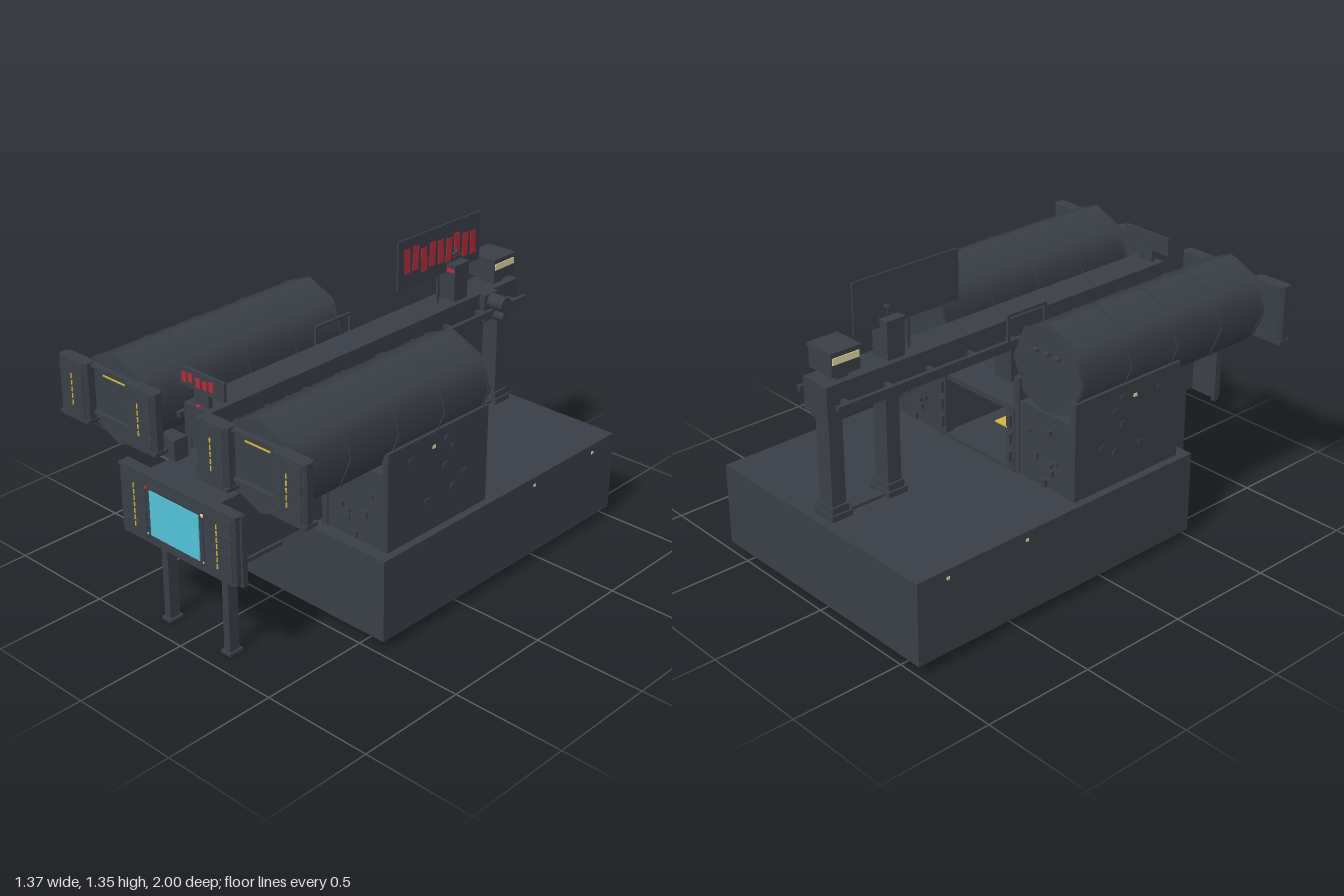
import * as THREE from 'three';

const mat = (name, color) => Object.assign(new THREE.MeshStandardMaterial({ color }), { name });

export function createModel() {
  const steel = mat('dark steel', 0x3a3f47);
  const cyan = mat('screen cyan', 0x52c4d8);
  const yellow = mat('marker yellow', 0xd0b63a);
  const red = mat('sign red', 0xb52c38);
  const cream = mat('lamp cream', 0xe4d6a4);

  const root = new THREE.Group();
  root.name = 'machine';
  const add = (parent, name, geometry, material = steel) => {
    const m = new THREE.Mesh(geometry, material);
    m.name = name;
    parent.add(m);
    return m;
  };
  // Box given by its lower and upper limits on each axis
  const box = (parent, name, x0, x1, y0, y1, z0, z1, material) => {
    const m = add(parent, name, new THREE.BoxGeometry(x1 - x0, y1 - y0, z1 - z0), material);
    m.position.set((x0 + x1) / 2, (y0 + y1) / 2, (z0 + z1) / 2);
    return m;
  };
  // Upright cabinet with chamfered vertical corners
  const cabinet = (parent, name, x0, x1, y0, y1, z0, z1, c = 0.015) => {
    const s = new THREE.Shape([
      [x0 + c, -z1], [x1 - c, -z1], [x1, -z1 + c], [x1, -z0 - c],
      [x1 - c, -z0], [x0 + c, -z0], [x0, -z0 - c], [x0, -z1 + c],
    ].map(p => new THREE.Vector2(...p)));
    const g = new THREE.ExtrudeGeometry(s, { depth: y1 - y0, bevelEnabled: false });
    const m = add(parent, name, g.rotateX(-Math.PI / 2));
    m.position.y = y0;
    return m;
  };
  // Column of small marker dashes
  const dashes = (parent, x, y0, y1, z, n) => {
    for (let i = 0; i < n; i++) {
      const y = y0 + (y1 - y0) * (i + 0.5) / n;
      box(parent, 'markerDash', x - 0.003, x + 0.003, y - 0.01, y + 0.01, z, z + 0.003, yellow);
    }
  };

  // Base and the pads beneath it
  box(root, 'base', -0.61, 0.61, 0.045, 0.41, -1, 0.48);
  for (const s of [-1, 1]) {
    box(root, 'longPad', s * 0.38 - 0.18, s * 0.38 + 0.18, 0.025, 0.045, -0.17, 0.44);
    for (const [z, w] of [[0.215, 0.15], [-0.255, 0.1], [-0.735, 0.1]])
      box(root, 'basePad', s * 0.38 - w, s * 0.38 + w, 0.008, 0.045, z - 0.06, z + 0.06);
    for (const z of [-0.45, -0.85])
      box(root, 'baseLamp', s * 0.611 - 0.002, s * 0.611 + 0.002, 0.367, 0.379, z - 0.007, z + 0.007, cream);
  }
  box(root, 'centerPad', -0.16, 0.16, 0.025, 0.045, -0.17, 0.44);

  // One tank with its pedestal, built about x = 0
  for (const s of [-1, 1]) {
    const t = new THREE.Group();
    t.name = s > 0 ? 'leftTank' : 'rightTank';
    t.position.x = s * 0.4;
    root.add(t);
    const drum = (name, r, z0, z1) => {
      const g = new THREE.CylinderGeometry(r, r, z1 - z0, 8).rotateX(Math.PI / 2);
      add(t, name, g).position.set(0, 0.92, (z0 + z1) / 2);
    };
    drum('tankShell', 0.194, -0.15, 0.92);
    for (const z of [-0.14, 0.122, 0.384, 0.646, 0.908]) drum('tankRib', 0.199, z - 0.005, z + 0.005);
    for (const x of [-0.06, 0, 0.06]) box(t, 'rearHandle', x - 0.015, x + 0.015, 0.99, 1.0, -0.17, -0.15);

    // Front hatch and its frame
    box(t, 'hatch', -0.115, 0.115, 0.84, 1.03, 0.92, 0.926);
    box(t, 'hatchTopRail', -0.13, 0.13, 1.03, 1.042, 0.92, 0.945);
    box(t, 'hatchBottomRail', -0.13, 0.13, 0.828, 0.84, 0.92, 0.945);
    box(t, 'hatchLine', -0.065, 0.065, 1.002, 1.008, 0.926, 0.93, yellow);

    // Drawer cabinets on either side of the hatch
    for (const d of [-1, 1]) {
      const c = d * 0.2;
      cabinet(t, 'drawerCabinet', c - 0.083, c + 0.083, 0.805, 1.048, 0.918, 0.977);
      box(t, 'cabinetSill', c - 0.087, c + 0.087, 0.79, 0.806, 0.916, 0.979);
      for (let i = 0; i < 4; i++)
        box(t, 'drawerFront', c - 0.068, c + 0.068, 0.815 + i * 0.057, 0.866 + i * 0.057, 0.976, 0.98);
      dashes(t, c - d * 0.003, 0.85, 0.995, 0.98, 5);
    }

    // Pedestal with cradle walls
    box(t, 'pedestal', -0.17, 0.175, 0.41, 0.74, -0.16, 0.42);
    for (const d of [-1, 1]) {
      box(t, 'cradleWall', d * 0.16 - 0.016, d * 0.16 + 0.016, 0.41, 0.84, -0.165, 0.425);
      for (const [z, y, w] of [[0.3, 0.765, 0.01], [0.09, 0.79, 0.01], [0.05, 0.74, 0.01],
        [0.095, 0.67, 0.012], [0.05, 0.56, 0.01], [-0.02, 0.6, 0.012], [0.2, 0.55, 0.012]])
        box(t, 'sideFitting', d * 0.178 - 0.004, d * 0.178 + 0.004, y - w, y + w, z - w, z + w);
      box(t, 'sideLamp', d * 0.178 - 0.002, d * 0.178 + 0.002, 0.77, 0.783, 0.155, 0.172, cream);
    }
    for (const [x, y, w] of [[-0.03, 0.665, 0.011], [-0.07, 0.54, 0.01], [-0.035, 0.52, 0.01],
      [0.05, 0.535, 0.015], [0.0, 0.43, 0.014], [-0.04, 0.49, 0.014], [0.09, 0.63, 0.007]])
      for (const z of [0.42, -0.16])
        box(t, 'endFitting', x - w, x + w, y - w, y + w, z - 0.012, z + 0.008);

    // Blocks carrying the tank on the console
    for (const z of [0.805, 0.44])
      box(t, 'tankBlock', -s * 0.15 - 0.085, -s * 0.15 + 0.085, 0.7, 0.79, z - 0.035, z + 0.035);
  }

  // Console body in front, open tunnel behind
  box(root, 'consoleBody', -0.2, 0.2, 0.41, 0.7, 0.4, 0.945);
  box(root, 'tunnelRoof', -0.235, 0.235, 0.675, 0.7, -0.16, 0.41);
  box(root, 'tunnelSill', -0.235, 0.235, 0.41, 0.425, -0.17, -0.13);
  box(root, 'tunnelFloor', -0.15, 0.15, 0.41, 0.416, 0.07, 0.4, yellow);
  for (const s of [-1, 1]) {
    box(root, 'tunnelPost', s * 0.21 - 0.02, s * 0.21 + 0.02, 0.41, 0.7, -0.17, -0.13);
    for (const y of [0.48, 0.56, 0.64]) box(root, 'tunnelHandle', s * 0.21 - 0.01, s * 0.21 + 0.01, y - 0.025, y + 0.025, -0.185, -0.165);
    for (const z of [0.46, 0.57, 0.72]) box(root, 'consoleFitting', s * 0.2 - 0.012, s * 0.2 + 0.012, 0.65, 0.69, z - 0.012, z + 0.012);
  }

  // Control panel with the screen
  cabinet(root, 'controlPanel', -0.325, 0.325, 0.405, 0.69, 0.94, 0.992, 0.012);
  box(root, 'panelTop', -0.33, 0.33, 0.69, 0.703, 0.938, 0.99);
  box(root, 'screenFrame', -0.16, 0.16, 0.43, 0.67, 0.99, 0.996);
  box(root, 'screen', -0.14, 0.14, 0.45, 0.648, 0.994, 1.0, cyan);
  for (const s of [-1, 1]) {
    for (let i = 0; i < 4; i++)
      box(root, 'panelDrawer', s * 0.24 - 0.072, s * 0.24 + 0.072, 0.42 + i * 0.066, 0.48 + i * 0.066, 0.991, 0.995);
    dashes(root, s * 0.235, 0.45, 0.65, 0.995, 7);
    box(root, 'panelBracket', s * 0.325 - 0.01, s * 0.325 + 0.01, 0.395, 0.7, 0.935, 0.96);
    box(root, 'panelLamp', s * 0.16 - 0.006, s * 0.16 + 0.006, 0.648, 0.66, 0.996, 1.0, s > 0 ? cream : red);
    box(root, 'panelDot', s * 0.16 - 0.003, s * 0.16 + 0.003, 0.447, 0.453, 0.996, 1.0, cream);
    // Front legs and under-console bars
    box(root, 'frontLeg', s * 0.175 - 0.017, s * 0.175 + 0.017, 0.01, 0.41, 0.86, 0.91);
    box(root, 'legFoot', s * 0.175 - 0.027, s * 0.175 + 0.027, 0, 0.013, 0.85, 0.92);
    box(root, 'underBar', s * 0.175 - 0.012, s * 0.175 + 0.012, 0.372, 0.388, 0.61, 0.87);
  }

  // Overhead beam, side rails and cross ties
  box(root, 'beam', -0.072, 0.072, 0.86, 1.0, -0.97, 0.86);
  for (const s of [-1, 1]) box(root, 'sideRail', s * 0.12 - 0.01, s * 0.12 + 0.01, 0.915, 0.937, -0.96, 0.85);
  for (let i = 0; i < 9; i++) {
    const z = -0.9 + i * 0.21;
    box(root, 'railTie', -0.12, 0.12, 0.918, 0.932, z - 0.01, z + 0.01);
  }
  for (const z of [0.1, -0.1]) box(root, 'handlePost', -0.126, -0.114, 0.93, 1.05, z - 0.006, z + 0.006);
  box(root, 'handleBar', -0.126, -0.114, 1.04, 1.052, -0.106, 0.106);
  box(root, 'beamStandFront', -0.05, 0.05, 0.7, 0.86, 0.7, 0.8);
  box(root, 'beamStandMiddle', -0.05, 0.05, 0.7, 0.86, -0.02, 0.08);
  box(root, 'standFoot', -0.07, 0.07, 0.7, 0.715, 0.68, 0.82);

  // Rear columns with feet
  for (const z of [-0.635, -0.912]) {
    box(root, 'rearColumn', -0.04, 0.04, 0.41, 0.86, z - 0.033, z + 0.033);
    box(root, 'columnFoot', -0.06, 0.06, 0.41, 0.435, z - 0.048, z + 0.048);
    box(root, 'columnCollar', -0.05, 0.05, 0.435, 0.465, z - 0.04, z + 0.04);
    box(root, 'columnHead', -0.055, 0.055, 0.835, 0.862, z - 0.043, z + 0.043);
  }
  box(root, 'cableDuct', -0.03, 0.03, 0.41, 0.422, -0.88, -0.66);

  // Front sign above the beam
  box(root, 'frontSignPost', -0.04, 0.04, 1.0, 1.05, 0.815, 0.835);
  box(root, 'frontSign', -0.127, 0.125, 1.05, 1.13, 0.82, 0.832);
  box(root, 'frontButton', -0.01, 0.01, 1.0, 1.004, 0.842, 0.858, red);
  [[-0.095, 1.09], [-0.06, 1.094], [-0.018, 1.086], [0.02, 1.084], [0.055, 1.092]].forEach(([x, y], i) =>
    box(root, 'frontSignMark', x - 0.012, x + 0.012, y - 0.021 + (i % 2) * 0.004, y + 0.019, 0.832, 0.835, red));

  // Large side sign with its pole
  box(root, 'sideSign', -0.004, 0.004, 1.128, 1.345, -0.78, -0.258);
  box(root, 'signPole', -0.005, 0.005, 1.0, 1.14, -0.52, -0.51);
  [1.25, 1.252, 1.23, 1.24, 1.235, 1.228, 1.238, 1.225, 1.222].forEach((y, i) => {
    const m = box(root, 'sideSignMark', 0.004, 0.007, y - 0.055, y + 0.05, -0.33 - i * 0.0525, -0.296 - i * 0.0525, red);
    m.rotation.x = i % 2 ? -0.05 : 0.05;
  });

  // Sensor tower
  box(root, 'sensorTower', -0.046, 0.046, 1.0, 1.15, -0.655, -0.57);
  box(root, 'sensorCap', -0.05, 0.05, 1.15, 1.165, -0.66, -0.565);
  box(root, 'sensorStripe', -0.046, 0.046, 1.13, 1.148, -0.57, -0.566, red);
  const dish = add(root, 'sensorDish', new THREE.CylinderGeometry(0.022, 0.022, 0.012, 12));
  dish.position.set(0, 1.205, -0.615);
  dish.rotation.x = 0.5;
  add(root, 'sensorStem', new THREE.CylinderGeometry(0.007, 0.007, 0.045, 8)).position.set(0, 1.183, -0.615);

  // Rear lamp housing with windows on both sides
  box(root, 'lampNeck', -0.04, 0.04, 1.0, 1.03, -0.9, -0.84);
  box(root, 'lampHousing', -0.07, 0.07, 1.028, 1.115, -0.94, -0.805);
  box(root, 'lampRoof', -0.074, 0.074, 1.115, 1.13, -0.944, -0.8);
  for (const s of [-1, 1])
    box(root, 'lampWindow', s * 0.071 - 0.003, s * 0.071 + 0.003, 1.08, 1.108, -0.936, -0.81, cream);

  // Twin motor on the side of the beam
  for (const [y, r] of [[0.965, 0.035], [0.91, 0.025]]) {
    const m = add(root, 'sideMotor', new THREE.CylinderGeometry(r, r, 0.11, 12).rotateZ(Math.PI / 2));
    m.position.set(0.125, y, -0.76);
  }
  box(root, 'motorMount', 0.07, 0.1, 0.88, 1.0, -0.8, -0.71);

  return root;
}
